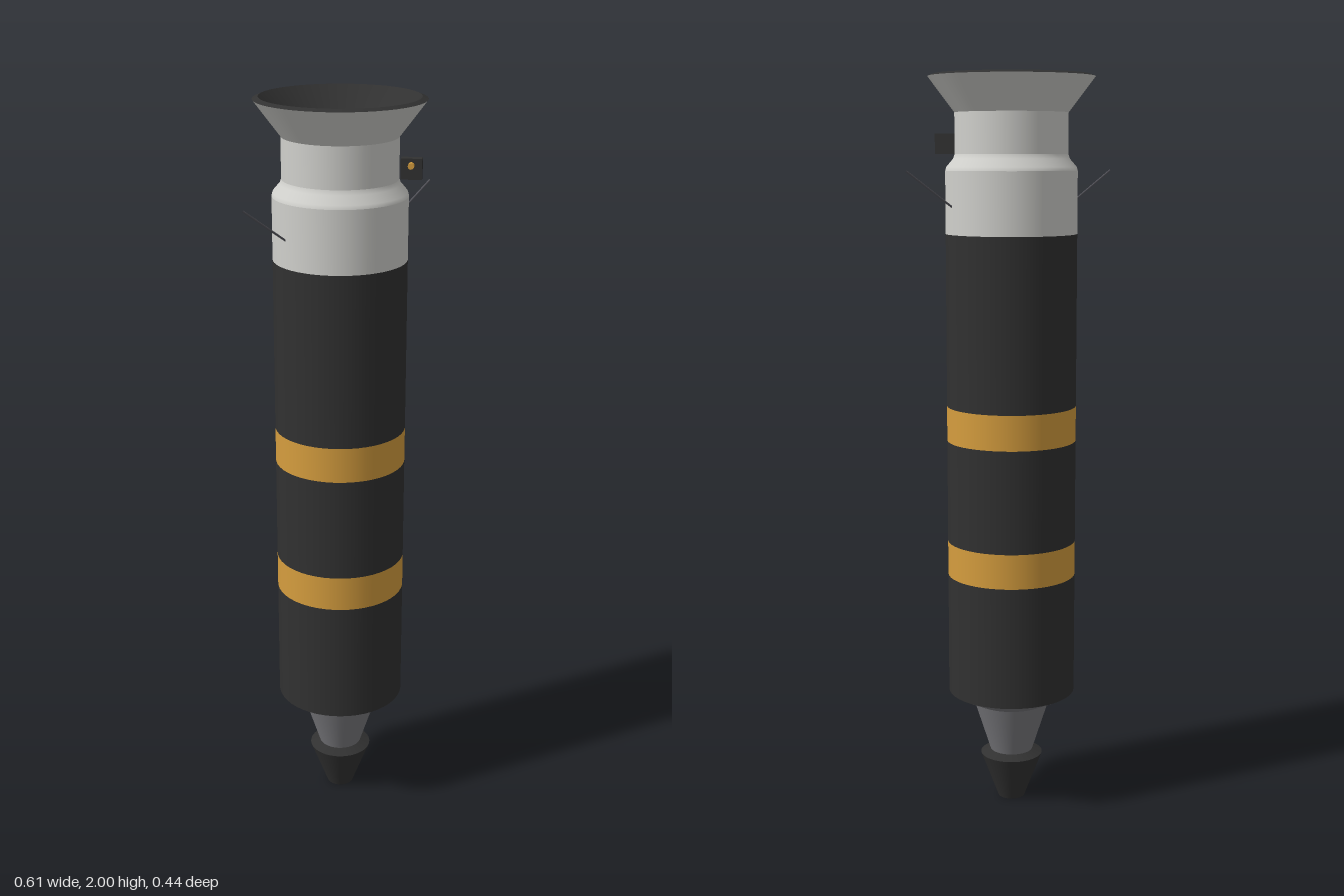
import * as THREE from 'three';

const SEGMENTS = 48;

function paint(name, hex) {
  const m = new THREE.MeshStandardMaterial({ color: hex });
  m.name = name;
  return m;
}

export function createModel() {
  const group = new THREE.Group();
  const black = paint('black', 0x313131);
  const white = paint('offWhite', 0xd0d0cc);
  const gold = paint('gold', 0xd59d3e);
  const grey = paint('grey', 0x7a7a7e);
  const wire = paint('wireGrey', 0x55555c);

  function add(name, geometry, material, parent = group) {
    const mesh = new THREE.Mesh(geometry, material);
    mesh.name = name;
    parent.add(mesh);
    return mesh;
  }

  // Straight bands between successive [radius, y] points, each with its own crisp edges.
  // Points run so that the surface lies to the left of the axis-outward direction (upward = outside).
  function turned(name, points, material) {
    const part = new THREE.Group();
    part.name = name;
    for (let i = 0; i < points.length - 1; i++) {
      const pair = [points[i], points[i + 1]].map(([r, y]) => new THREE.Vector2(r, y));
      add(name + 'Band' + (i + 1), new THREE.LatheGeometry(pair, SEGMENTS), material, part);
    }
    group.add(part);
  }

  // Nose tip and tapered neck
  turned('tip', [[0, 0], [0.037, 0], [0.086, 0.13], [0.056, 0.143]], black);
  turned('neck', [[0.058, 0.138], [0.105, 0.285], [0.175, 0.32]], grey);

  // Main tube, split into black sections and gold stripes
  const levels = [0.32, 0.655, 0.75, 1.03, 1.125, 1.587];
  for (let i = 0; i < levels.length - 1; i++) {
    const stripe = i % 2 === 1;
    turned((stripe ? 'stripe' : 'tube') + (i + 1),
      [[0.175, levels[i]], [0.175, levels[i + 1]]], stripe ? gold : black);
  }

  // Shoulder, collar and flared funnel
  turned('shoulder', [[0.175, 1.587], [0.175, 1.752]], white);
  const curve = [[0.175, 1.752], [0.172, 1.762], [0.154, 1.783], [0.15, 1.795]];
  add('shoulderCurve', new THREE.LatheGeometry(
    curve.map(([r, y]) => new THREE.Vector2(r, y)), SEGMENTS), white);
  turned('collar', [[0.15, 1.795], [0.15, 1.902]], white);
  turned('funnel', [[0.15, 1.902], [0.22, 1.994]], white);
  turned('funnelLining', [[0.22, 1.994], [0.205, 2], [0.117, 1.915], [0, 1.915]], black);

  // Whisker antennas on both sides
  for (const side of [-1, 1]) {
    const path = new THREE.LineCurve3(
      new THREE.Vector3(side * 0.17, 1.657, 0), new THREE.Vector3(side * 0.302, 1.752, 0));
    add(side > 0 ? 'leftAntenna' : 'rightAntenna',
      new THREE.TubeGeometry(path, 1, 0.0027, 8), wire);
  }

  // Small sensor box on the collar with a gold eyepiece
  const sensor = new THREE.Group();
  sensor.name = 'sensor';
  sensor.position.set(0.134, 1.822, 0.121);
  sensor.rotation.y = Math.PI / 4;
  group.add(sensor);
  add('sensorBox', new THREE.BoxGeometry(0.025, 0.053, 0.054), black, sensor);
  const eye = add('sensorEyepiece', new THREE.CylinderGeometry(0.008, 0.008, 0.018, 16), gold, sensor);
  eye.rotation.z = Math.PI / 2;
  eye.position.set(-0.02, 0.01, 0);

  return group;
}
